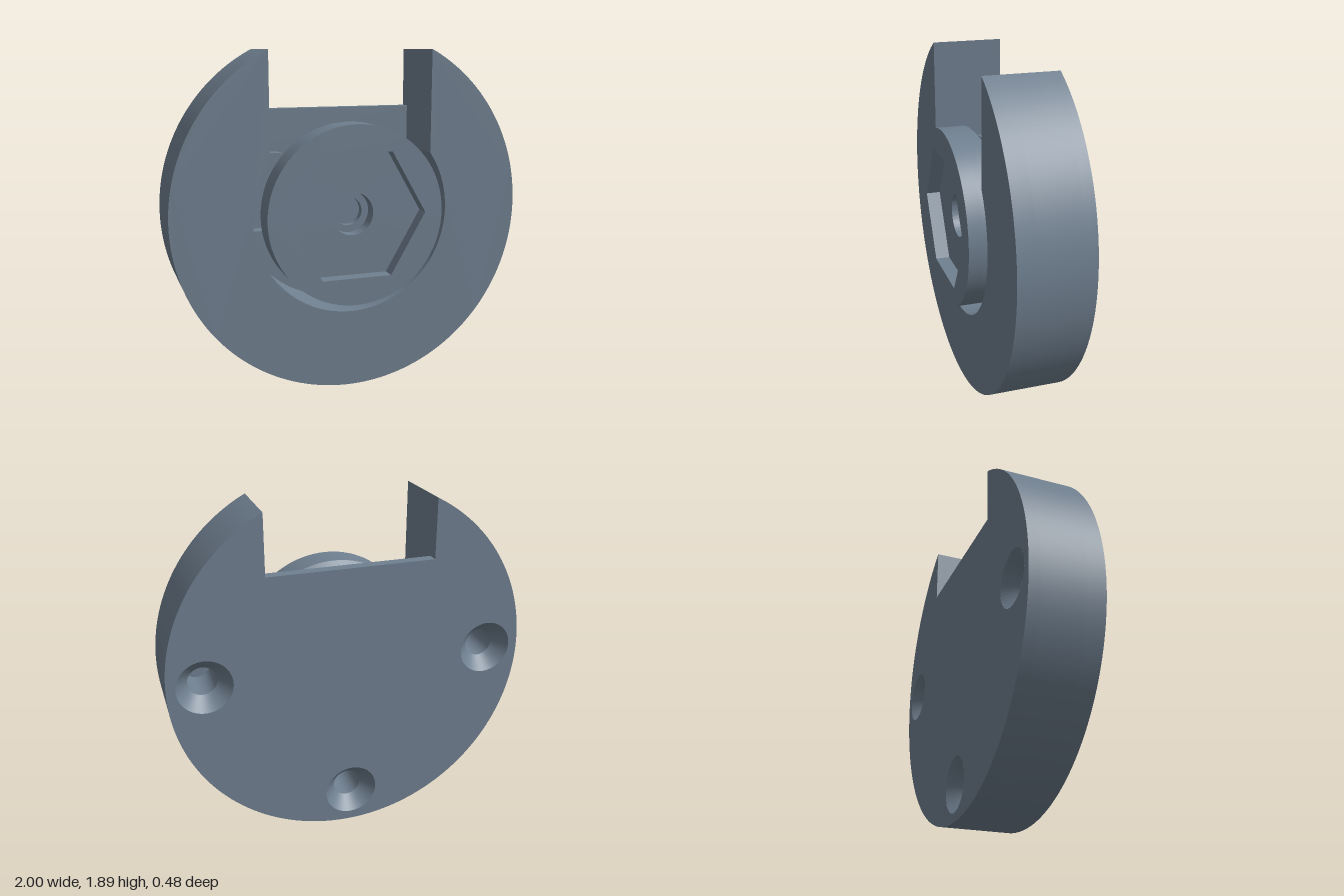
import * as THREE from 'three';
import { toCreasedNormals } from 'three/addons/utils/BufferGeometryUtils.js';

const COLOR = 0x708090;
const material = new THREE.MeshStandardMaterial({ color: COLOR });
const linerMaterial = new THREE.MeshStandardMaterial({ color: COLOR, side: THREE.DoubleSide });
const SLOT = 0.46, RECESS = 0.56;
const screwSpots = [[0.8, 0], [-0.8, 0], [0, -0.8]];

function addMesh(group, name, geometry, mat = material) {
  const mesh = new THREE.Mesh(toCreasedNormals(geometry, 0.5), mat);
  mesh.name = name;
  group.add(mesh);
}

// Extrude a shape between two depths
function slab(shape, z0, z1) {
  return new THREE.ExtrudeGeometry(shape, { depth: z1 - z0, bevelEnabled: false, curveSegments: 96 })
    .translate(0, 0, z0);
}

// Revolve [radius, z] points about the z axis
function turned(points, segments) {
  return new THREE.LatheGeometry(points.map(p => new THREE.Vector2(...p)), segments).rotateX(Math.PI / 2);
}

function circleHole(x, y, r) {
  return new THREE.Path().absarc(x, y, r, 0, Math.PI * 2, true);
}

// Disc outline with the top slot, either flat-bottomed or opening into the round recess
function discShape(withRecess, withScrews) {
  const a = Math.acos(SLOT), b = Math.acos(SLOT / RECESS);
  const s = new THREE.Shape();
  s.absarc(0, 0, 1, Math.PI - a, Math.PI * 2 + a, false);
  if (withRecess) {
    s.absarc(0, 0, RECESS, b, -Math.PI - b, true);
  } else {
    s.lineTo(SLOT, 0.56);
    s.lineTo(-SLOT, 0.56);
  }
  s.closePath();
  if (withScrews) screwSpots.forEach(([x, y]) => s.holes.push(circleHole(x, y, 0.15)));
  return s;
}

export function createModel() {
  const model = new THREE.Group();
  const body = new THREE.Group();
  body.name = 'body';
  const knob = new THREE.Group();
  knob.name = 'knob';
  model.add(body, knob);
  body.position.y = knob.position.y = 1;

  // Slotted housing
  addMesh(body, 'backPlate', slab(discShape(false, true), -0.24, -0.18));
  addMesh(body, 'housingRing', slab(discShape(true, true), -0.18, 0.06));
  addMesh(body, 'housingFront', slab(discShape(true, false), 0.06, 0.16));

  // Countersunk screw holes in the back
  for (const [x, y] of screwSpots) {
    const liner = turned([[0.15, -0.24], [0.08, -0.16], [0.08, 0.06], [0, 0.06]], 40);
    addMesh(body, 'screwHole', liner.translate(x, y, 0), linerMaterial);
  }

  // Round-ended stops on the recess floor
  for (const sx of [1, -1]) for (const sy of [1, -1]) {
    const s = new THREE.Shape();
    const start = sx > 0 ? Math.PI / 2 : -Math.PI / 2;
    s.absarc(sx * 0.36, sy * 0.22, 0.1, start, start + Math.PI, false);
    s.lineTo(sx * 0.6, sy * 0.22 - sx * 0.1);
    s.lineTo(sx * 0.6, sy * 0.22 + sx * 0.1);
    s.closePath();
    addMesh(body, 'recessStop', slab(s, -0.18, -0.1));
  }

  // Knob front with hexagonal pocket
  const face = new THREE.Shape().absarc(0, 0, 0.5, 0, Math.PI * 2, false);
  const hex = [];
  for (let i = 0; i < 6; i++) {
    const t = -i * Math.PI / 3;
    hex.push(new THREE.Vector2(0.4 * Math.cos(t), 0.4 * Math.sin(t)));
  }
  face.holes.push(new THREE.Path(hex));
  addMesh(knob, 'hexPocketRim', slab(face, 0.16, 0.24));

  // Knob back with chamfer and stepped bore
  addMesh(knob, 'knobBase', turned([
    [0.08, 0.04], [0.46, 0.04], [0.5, 0.08], [0.5, 0.16],
    [0.12, 0.16], [0.12, 0.08], [0.08, 0.08], [0.08, 0.04],
  ], 96));

  return model;
}
